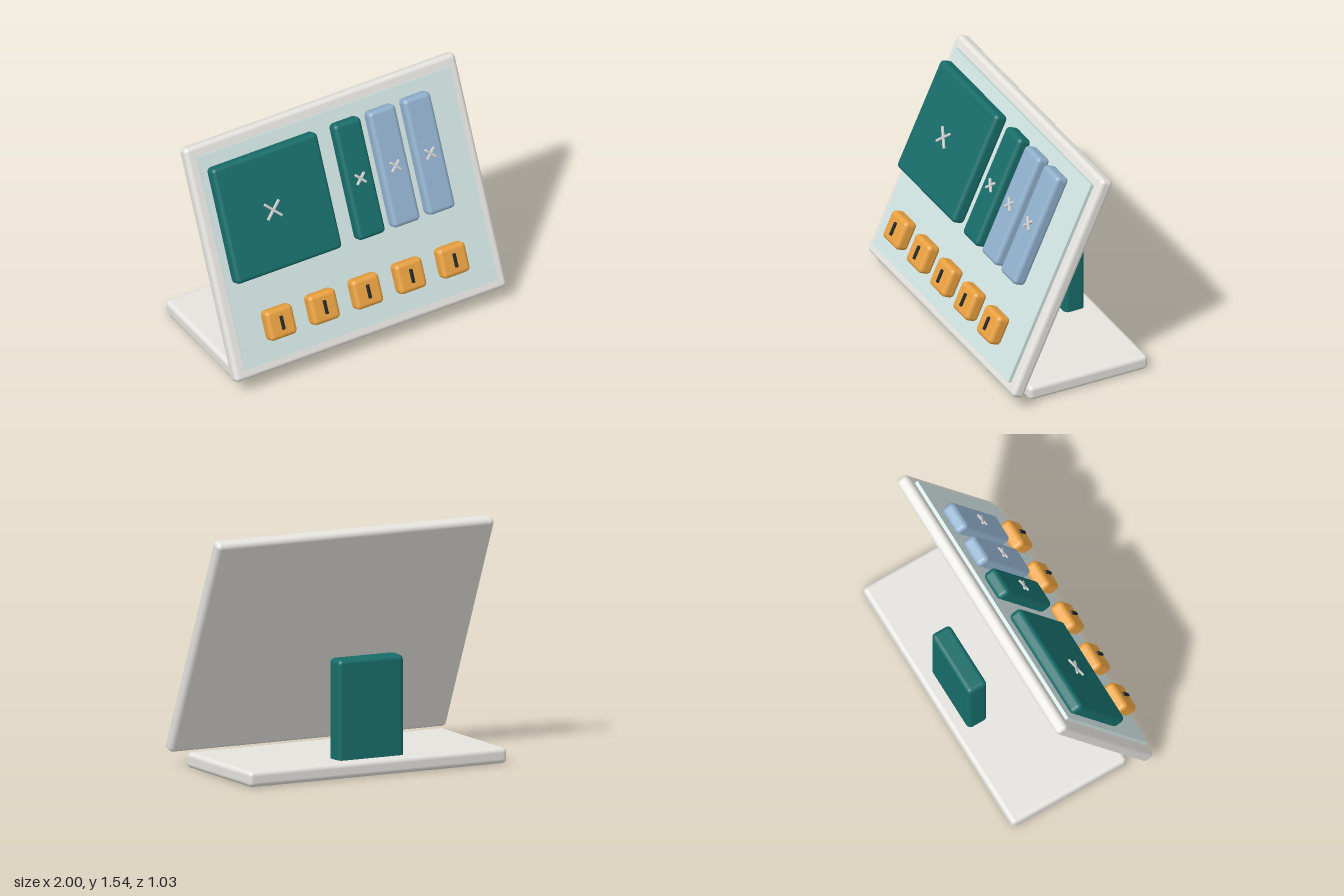
import * as THREE from 'three';
import { RoundedBoxGeometry } from 'three/addons/geometries/RoundedBoxGeometry.js';

const mat = (color) => new THREE.MeshStandardMaterial({ color });
const mats = {
  shell: mat(0xe5e3de), panel: mat(0xcfe3e1), teal: mat(0x176d6a),
  blue: mat(0x90afcb), orange: mat(0xe8a040), dark: mat(0x222426), mark: mat(0xcccccc),
};

// Rounded (or, with radius 0, sharp) block, named and placed by its centre
function block(parent, name, material, size, pos, radius = 0.03) {
  const geometry = radius > 0 ? new RoundedBoxGeometry(...size, 4, radius) : new THREE.BoxGeometry(...size);
  const mesh = new THREE.Mesh(geometry, material);
  mesh.name = name;
  mesh.position.set(...pos);
  parent.add(mesh);
  return mesh;
}

// Two thin raised bars crossing at right angles
function crossMark(parent, x, y, z, length) {
  const group = new THREE.Group();
  group.name = 'crossMark';
  group.position.set(x, y, z);
  for (const side of [-1, 1]) {
    const bar = block(group, 'crossBar', mats.mark, [length, 0.017, 0.02], [0, 0, 0], 0.004);
    bar.rotation.z = side * Math.PI / 4;
  }
  parent.add(group);
}

export function createModel() {
  const model = new THREE.Group();
  model.name = 'tileBoardOnStand';

  // Stand: flat foot and upright post behind the board
  block(model, 'base', mats.shell, [1.86, 0.1, 0.85], [0, 0.05, -0.087]);
  block(model, 'supportPost', mats.teal, [0.47, 0.69, 0.14], [0, 0.4, -0.35]);

  // Leaning board, built upright around its own centre
  const board = new THREE.Group();
  board.name = 'board';
  board.position.set(0, 0.815, 0.135);
  board.rotation.x = -0.427;
  model.add(board);
  block(board, 'boardBody', mats.shell, [2, 1.575, 0.088], [0, 0, 0]);
  block(board, 'facePanel', mats.panel, [1.86, 1.43, 0.04], [0, 0, 0.047], 0);

  // Upper row: one large square tile and three tall tiles
  const tileZ = 0.119, tileY = 0.248, depth = 0.095, faceZ = 0.169;
  block(board, 'squareTile', mats.teal, [0.78, 0.78, depth], [-0.51, tileY, tileZ]);
  crossMark(board, -0.545, 0.252, faceZ, 0.15);
  [[0.1, mats.teal], [0.357, mats.blue], [0.615, mats.blue]].forEach(([x, material]) => {
    block(board, 'tallTile', material, [0.2, 0.78, depth], [x, tileY, tileZ]);
    crossMark(board, x, 0.252, faceZ, 0.095);
  });

  // Lower row: five small tiles, each with a raised dark bar
  for (let i = 0; i < 5; i++) {
    const x = -0.656 + i * 0.319;
    block(board, 'smallTile', mats.orange, [0.2, 0.2, depth], [x, -0.473, tileZ]);
    block(board, 'darkBar', mats.dark, [0.02, 0.092, 0.022], [x, -0.47, faceZ], 0.004);
  }
  return model;
}
